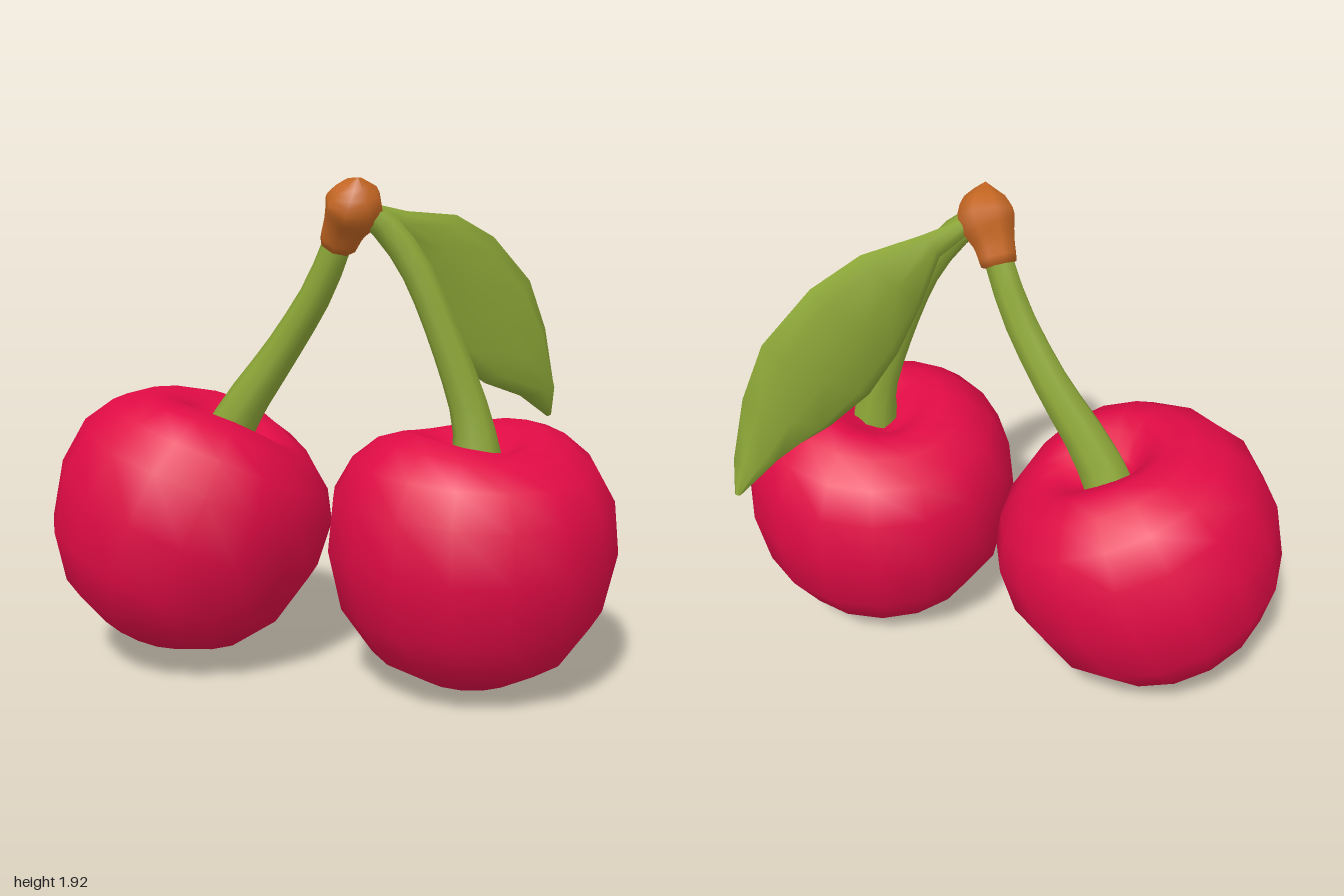
import * as THREE from 'three';
import { mergeVertices } from 'three/addons/utils/BufferGeometryUtils.js';

const mat = (name, color) => {
  const m = new THREE.MeshStandardMaterial({ color });
  m.name = name;
  return m;
};

// Weld duplicate corners so the shading runs smoothly across seams
function weld(geo) {
  geo.deleteAttribute('uv');
  geo.deleteAttribute('normal');
  const g = mergeVertices(geo, 1e-4);
  g.computeVertexNormals();
  return g;
}

// Round fruit with a dimple; the rim dips at its front and back
function fruitGeometry() {
  const profile = [[0, -0.505], [0.2, -0.47], [0.38, -0.365], [0.5, -0.19], [0.55, 0.04], [0.53, 0.25],
    [0.46, 0.38], [0.36, 0.465], [0.26, 0.495], [0.18, 0.47], [0.1, 0.41], [0, 0.39]];
  const geo = new THREE.LatheGeometry(profile.map(p => new THREE.Vector2(...p)), 16);
  const pos = geo.attributes.position;
  for (let i = 0; i < pos.count; i++) {
    const x = pos.getX(i), y = pos.getY(i), z = pos.getZ(i);
    const r = Math.hypot(x, z);
    if (y > 0 && r > 0.05) pos.setY(i, y * (1 - 0.1 * (z / r) ** 2));
  }
  return weld(geo);
}

// Tube through [x, y, z, radius] stations
function taperedTube(stations, rings, sides) {
  const curve = new THREE.CatmullRomCurve3(stations.map(s => new THREE.Vector3(s[0], s[1], s[2])));
  const radii = new THREE.CatmullRomCurve3(stations.map(s => new THREE.Vector3(s[3], 0, 0)));
  const geo = new THREE.TubeGeometry(curve, rings, 1, sides, false);
  const pos = geo.attributes.position;
  const v = new THREE.Vector3();
  for (let i = 0; i <= rings; i++) {
    const u = i / rings;
    const c = curve.getPointAt(u);
    const r = Math.max(0.001, radii.getPoint(curve.getUtoTmapping(u)).x);
    for (let j = 0; j <= sides; j++) {
      const k = i * (sides + 1) + j;
      v.fromBufferAttribute(pos, k).sub(c).multiplyScalar(r).add(c);
      pos.setXYZ(k, v.x, v.y, v.z);
    }
  }
  return weld(geo);
}

// Closed leaf with a lens-shaped cross-section: [upperX, upperY, lowerX, lowerY, z, halfThickness]
function leafGeometry(sections, n) {
  const verts = [], index = [];
  sections.forEach(([ux, uy, lx, ly, z, t], i) => {
    for (let j = 0; j < n; j++) {
      const a = (j / n) * Math.PI * 2, c = Math.cos(a) / 2;
      verts.push((ux + lx) / 2 + (ux - lx) * c, (uy + ly) / 2 + (uy - ly) * c, z + t * Math.sin(a));
      if (i === sections.length - 1) continue;
      const p = i * n + j, q = i * n + (j + 1) % n;
      index.push(p, q, p + n, q, q + n, p + n);
    }
  });
  const geo = new THREE.BufferGeometry();
  geo.setAttribute('position', new THREE.Float32BufferAttribute(verts, 3));
  geo.setIndex(index);
  geo.computeVertexNormals();
  return geo;
}

export function createModel() {
  const group = new THREE.Group();
  group.name = 'cherries';
  const red = mat('cherryRed', 0xe00b45);
  const green = mat('leafGreen', 0x8ca637);
  const brown = mat('woodOrange', 0xc46622);
  const add = (name, geo, material) => {
    const mesh = new THREE.Mesh(geo, material);
    mesh.name = name;
    group.add(mesh);
    return mesh;
  };

  // Fruit: one upright, one leaning toward its stem
  const fruit = fruitGeometry();
  add('frontCherry', fruit, red).position.set(0.33, 0.505, 0.41);
  const back = add('backCherry', fruit, red);
  back.position.set(-0.455, 0.56, -0.415);
  back.quaternion.setFromUnitVectors(new THREE.Vector3(0, 1, 0), new THREE.Vector3(0.35, 0.91, 0.2).normalize());
  back.rotateY(1.05);

  // Stems, flared where they meet the fruit
  add('frontStem', taperedTube([[0.335, 0.88, 0.43, 0.095], [0.32, 1.03, 0.415, 0.075], [0.215, 1.4, 0.335, 0.06],
    [0.145, 1.6, 0.275, 0.058], [0.06, 1.74, 0.215, 0.055], [-0.02, 1.81, 0.18, 0.045]], 10, 8), green);
  add('backStem', taperedTube([[-0.32, 0.87, -0.36, 0.1], [-0.27, 1.02, -0.29, 0.085], [-0.16, 1.26, -0.16, 0.068],
    [-0.08, 1.5, -0.02, 0.06], [-0.045, 1.68, 0.06, 0.055]], 8, 8), green);

  // Woody knot joining the stems
  add('knot', taperedTube([[-0.045, 1.645, 0.045, 0.001], [-0.045, 1.655, 0.05, 0.066], [-0.045, 1.73, 0.1, 0.08],
    [-0.04, 1.81, 0.16, 0.11], [-0.05, 1.865, 0.195, 0.085], [-0.065, 1.915, 0.225, 0.001]], 12, 8), brown);

  // Leaf hanging to the side
  add('leaf', leafGeometry([
    [0.0, 1.83, 0.0, 1.78, 0.16, 0.02],
    [0.2, 1.79, 0.15, 1.69, 0.155, 0.04],
    [0.45, 1.77, 0.23, 1.53, 0.13, 0.06],
    [0.64, 1.68, 0.33, 1.35, 0.125, 0.065],
    [0.83, 1.5, 0.45, 1.2, 0.125, 0.06],
    [0.92, 1.3, 0.61, 1.1, 0.125, 0.06],
    [0.98, 1.06, 0.8, 1.03, 0.12, 0.05],
    [1.0, 0.93, 0.98, 0.92, 0.085, 0.01],
  ], 8), green);
  return group;
}
